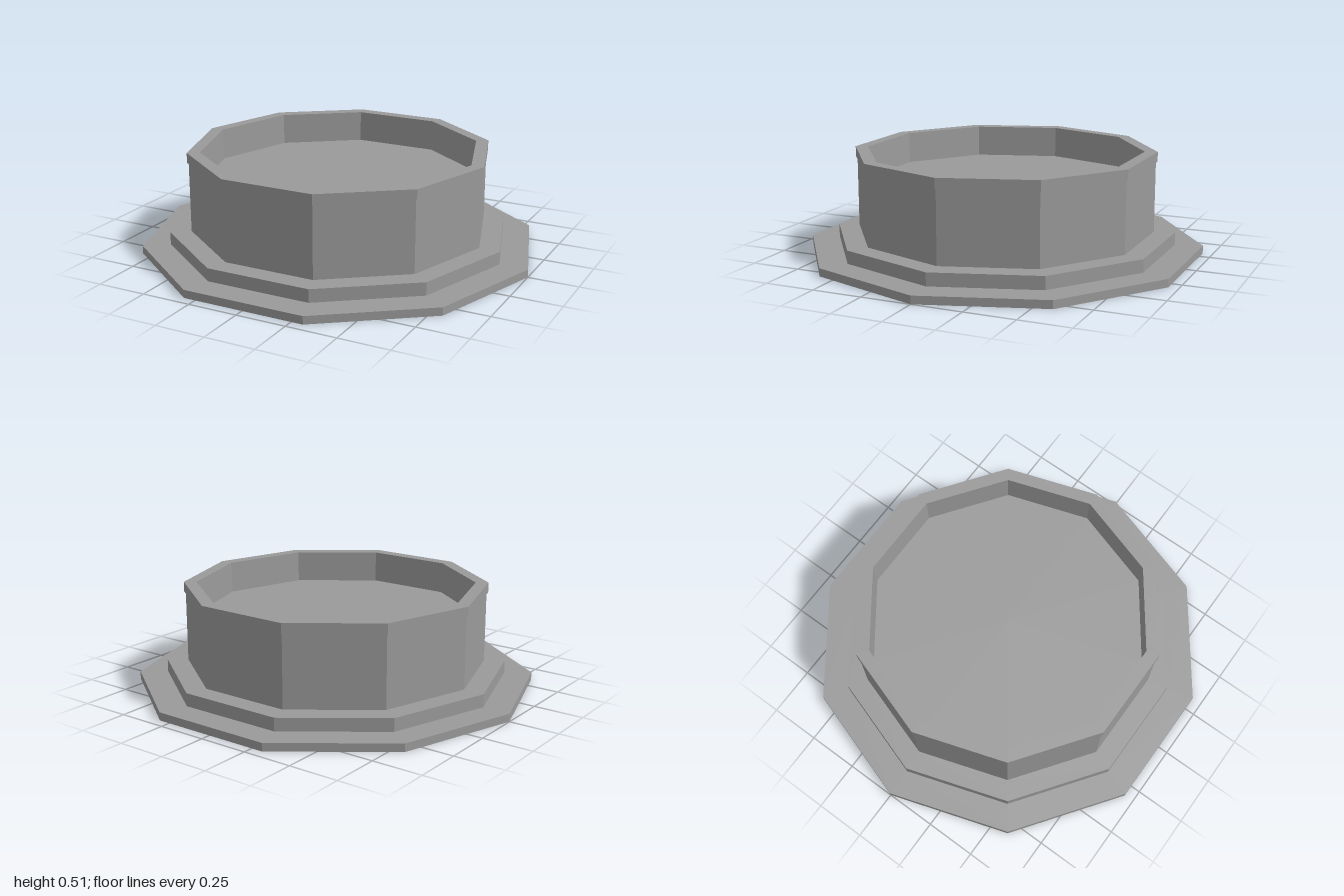
import * as THREE from 'three';

const SIDES = 10;

const material = new THREE.MeshStandardMaterial({
  color: 0x9a9a9a,
  flatShading: true,
  side: THREE.DoubleSide,
});

// Ten-sided ring of thin sheet swept from [radius, height] pairs, with corners on the x axis
function ring(name, profile) {
  const points = profile.map(([r, y]) => new THREE.Vector2(r, y));
  const geometry = new THREE.LatheGeometry(points, SIDES, Math.PI / 2).toNonIndexed();
  geometry.computeVertexNormals();
  const mesh = new THREE.Mesh(geometry, material);
  mesh.name = name;
  return mesh;
}

export function createModel() {
  const model = new THREE.Group();
  model.name = 'decagonalBasin';

  // Wide foot, open underneath, tucked slightly under the step
  const flange = ring('baseFlange', [[1, 0], [1, 0.04], [0.855, 0.04]]);

  // Upper tiers sit a hair off the centre of the foot
  const upper = new THREE.Group();
  upper.name = 'upperTiers';
  upper.position.x = -0.002;
  upper.add(
    ring('step', [[0.859, 0.04], [0.859, 0.105], [0.753, 0.105]]),
    ring('outerWall', [[0.753, 0.105], [0.753, 0.463]]),
    // Lip overhanging the wall
    ring('rim', [[0.753, 0.463], [0.761, 0.463], [0.761, 0.513], [0.697, 0.513]]),
    // Sunken tray inside the rim
    ring('innerWall', [[0.697, 0.513], [0.692, 0.355]]),
    ring('floor', [[0.692, 0.355], [0, 0.355]]),
  );

  model.add(flange, upper);
  return model;
}
